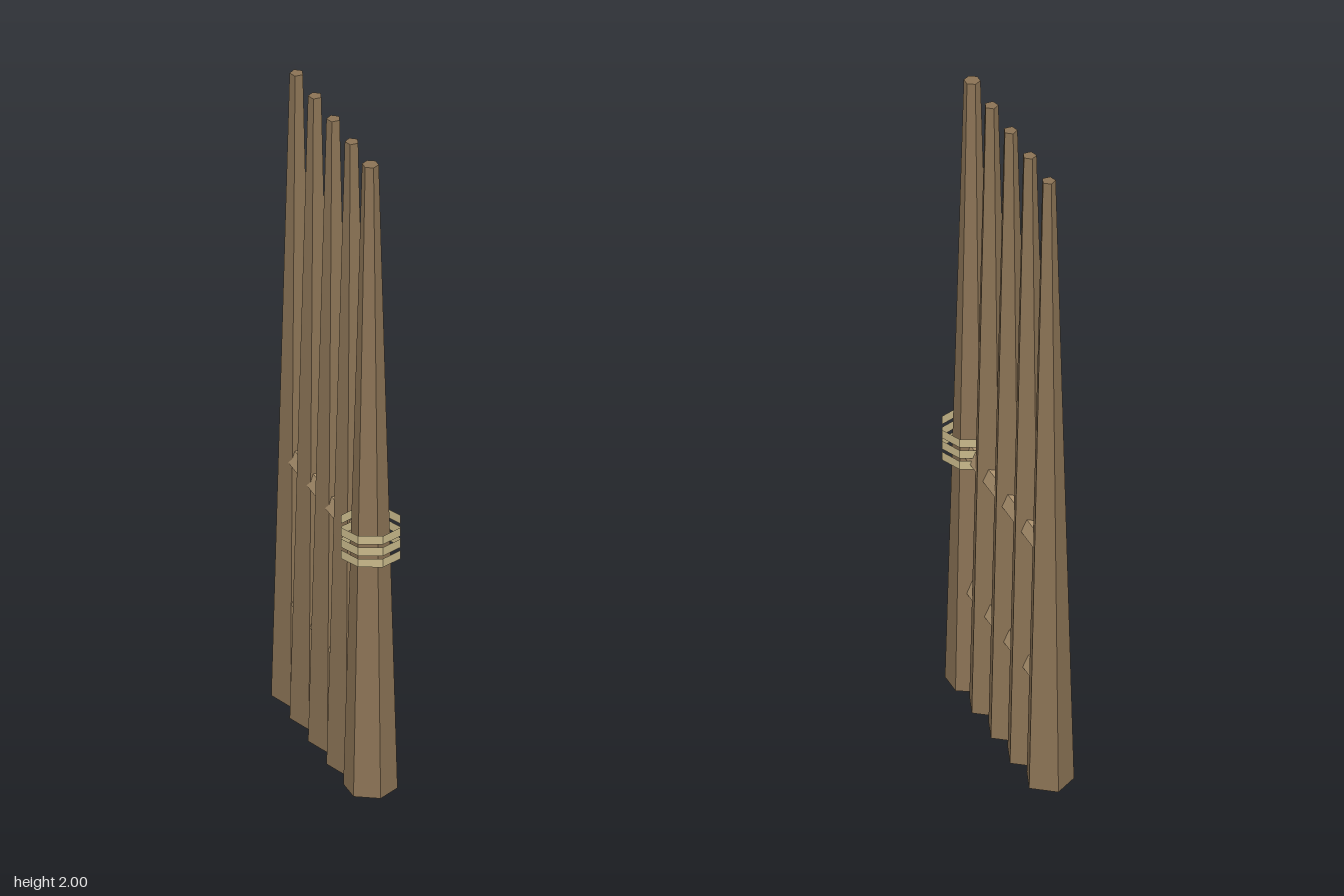
import * as THREE from 'three';

export function createModel() {
  const model = new THREE.Group();

  const wood = new THREE.MeshStandardMaterial({ color: 0x8b7355, flatShading: true });
  wood.name = 'brown wood';
  const paleWood = new THREE.MeshStandardMaterial({ color: 0xae9470, flatShading: true });
  paleWood.name = 'pale wood';
  const ropeTan = new THREE.MeshStandardMaterial({ color: 0xc8b88a, flatShading: true, side: THREE.DoubleSide });
  ropeTan.name = 'rope tan';

  function add(name, geometry, material, y, z) {
    const mesh = new THREE.Mesh(geometry, material);
    mesh.name = name;
    mesh.position.set(0, y, z);
    model.add(mesh);
    return mesh;
  }

  const frontZ = 0.267;
  const backZ = -0.2875;
  const spacing = (frontZ - backZ) / 4;

  // Thicker six-sided post at the front
  add('frontPost', new THREE.CylinderGeometry(0.0237, 0.0765, 2, 6), wood, 1, frontZ);

  // Four five-sided posts behind it, each with a corner pointing back
  const postGeometry = new THREE.CylinderGeometry(0.0202, 0.0715, 2, 5);
  postGeometry.rotateY(Math.PI);
  for (let i = 1; i <= 4; i++) {
    add('post' + i, postGeometry, wood, 1, frontZ - i * spacing);
  }

  // Two five-sided rails through the posts, flat side up
  const railGeometry = new THREE.CylinderGeometry(0.038, 0.038, frontZ - backZ, 5);
  railGeometry.rotateX(Math.PI / 2);
  add('lowerRail', railGeometry, paleWood, 0.334, (frontZ + backZ) / 2);
  add('upperRail', railGeometry, paleWood, 0.779, (frontZ + backZ) / 2);

  // Three loose rope bands around the front post
  const bandGeometry = new THREE.CylinderGeometry(0.09, 0.09, 0.027, 8, 1, true);
  for (let i = 0; i < 3; i++) {
    add('ropeBand' + (i + 1), bandGeometry, ropeTan, 0.766 + i * 0.0365, frontZ + 0.003);
  }

  return model;
}
